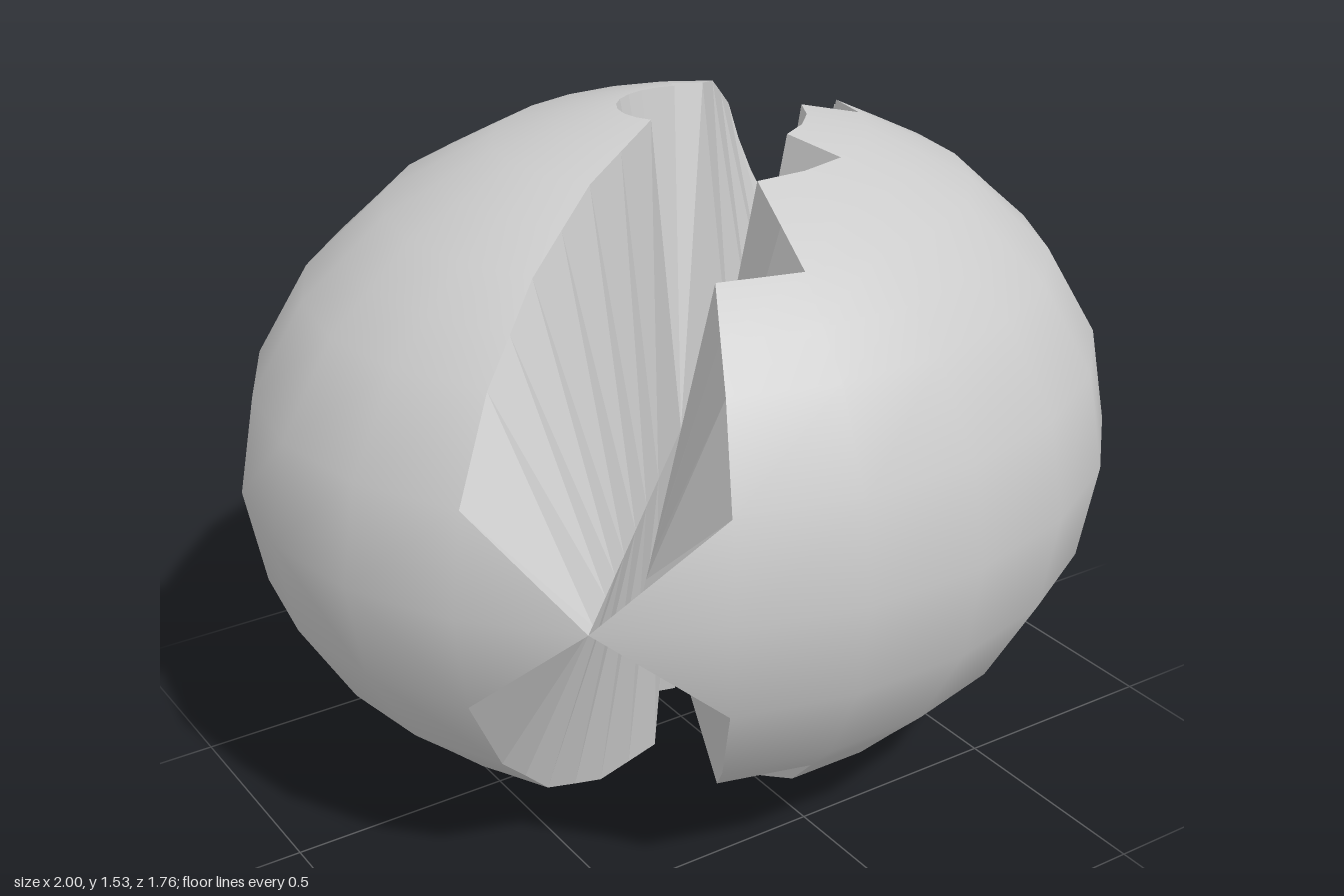
import * as THREE from 'three';

const STEP = Math.PI * 2 / 22;          // angular width of one column
const MID = 0.765, DEPTH = 0.89;        // equator height, front-back radius
// rings from equator to pole: [radius, height above the equator]
const RINGS = [[1, 0], [0.96, 0.218], [0.84, 0.418], [0.748, 0.5], [0.655, 0.585],
  [0.535, 0.645], [0.415, 0.704], [0.278, 0.735], [0.142, 0.765]];

const point = (k, j, s) => new THREE.Vector3(
  RINGS[j][0] * Math.cos(k * STEP), MID + s * RINGS[j][1], RINGS[j][0] * Math.sin(k * STEP) * DEPTH);

// Non-indexed triangle collector; s = -1 mirrors the winding for the lower side
function collector() {
  const pts = [];
  return {
    tri: (a, b, c, s) => pts.push(...(s > 0 ? [a, b, c] : [a, c, b])),
    build(smooth) {
      const geo = new THREE.BufferGeometry().setFromPoints(pts);
      geo.computeVertexNormals();
      if (smooth) pts.forEach((p, i) => {
        const n = new THREE.Vector3(p.x, (p.y - MID) / 0.6, p.z / (DEPTH * DEPTH)).normalize();
        geo.attributes.normal.setXYZ(i, n.x, n.y, n.z);
      });
      return geo;
    },
  };
}

// One half: limits give, per column, the ring at which the skin stops
function makeHalf(name, k0, upper, lower, seam) {
  const k1 = k0 + upper.length;
  const skin = collector(), wall = collector();
  const hinges = [point(k0 - 1, 0, 1), point(k1 + 1, 0, 1)];

  for (const [s, limits] of [[1, upper], [-1, lower]]) {
    // outer skin
    limits.forEach((lim, c) => {
      for (let j = 0, k = k0 + c; j < lim; j++) {
        const a = point(k, j, s), b = point(k, j + 1, s);
        const d = point(k + 1, j, s), e = point(k + 1, j + 1, s);
        skin.tri(a, b, d, s);
        skin.tri(b, e, d, s);
      }
    });
    // skin pinched into the two hinge points
    skin.tri(hinges[0], point(k0, 1, s), point(k0, 0, s), s);
    skin.tri(point(k1, 0, s), point(k1, 1, s), hinges[1], s);

    // stepped edge of the skin, walked from hinge to hinge
    const edge = [];
    let ring = 1;
    const climb = (k, to) => {
      edge.push([k, ring]);
      while (ring !== to) edge.push([k, ring += Math.sign(to - ring)]);
    };
    limits.forEach((lim, c) => climb(k0 + c, lim));
    climb(k1, 1);

    // folded wall from that edge down to the seam at mid height
    const rim = [hinges[0], ...edge.map(([k, j]) => point(k, j, s)), hinges[1]];
    const inner = [hinges[0], ...edge.map(([k, j]) => seam(k, j, s, hinges)), hinges[1]];
    for (let i = 0; i + 1 < rim.length; i++) {
      wall.tri(rim[i], inner[i], rim[i + 1], s);
      wall.tri(rim[i + 1], inner[i], inner[i + 1], s);
    }
  }

  const material = new THREE.MeshStandardMaterial({ color: 0xcccccc, side: THREE.DoubleSide });
  const group = new THREE.Group();
  group.name = name;
  for (const [part, geo] of [['Skin', skin.build(true)], ['Wall', wall.build(false)]]) {
    const mesh = new THREE.Mesh(geo, material);
    mesh.name = name + part;
    group.add(mesh);
  }
  return group;
}

// Back seam: two straight lines from the hinges to the centre
function backSeam(k, j, s, hinges) {
  const centre = new THREE.Vector3(0, MID, 0);
  if (j === 8 || (k > 9 && k < 19)) return centre;
  return centre.lerp(hinges[k === 9 ? 0 : 1], RINGS[j][0]);
}

// Front seam: the stepped edge drawn halfway towards the diagonal
function frontSeam(k, j, s) {
  const p = point(k, j, s);
  const along = p.x * 0.79 - p.z * 0.61, off = (p.x * 0.61 + p.z * 0.79) * 0.5;
  return new THREE.Vector3(along * 0.79 + off * 0.61, MID, -along * 0.61 + off * 0.79);
}

export function createModel() {
  const model = new THREE.Group();
  model.name = 'splitShell';
  model.add(
    makeHalf('backHalf', 9, [8, 8, 8, 8, 8, 8, 8, 8, 8, 7], [8, 8, 8, 8, 8, 8, 8, 8, 8, 6], backSeam),
    makeHalf('frontHalf', -1, [5, 6, 7, 7, 7, 6, 6, 4], [5, 6, 7, 7, 7, 6, 6, 3], frontSeam),
  );
  return model;
}
